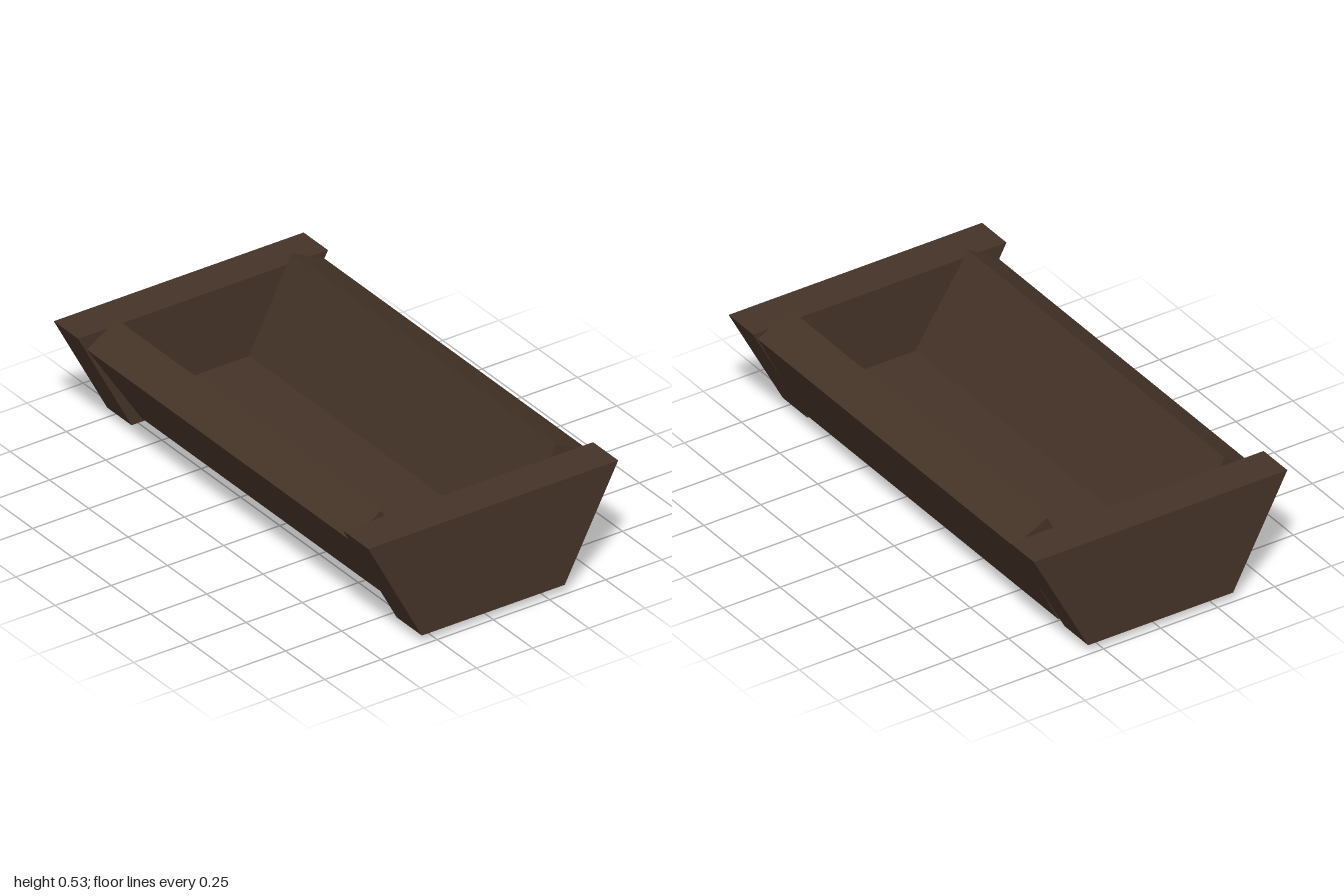
import * as THREE from 'three';

// Extrudes a (z, y) cross-section along x, from x0 to x1
function prism(name, section, x0, x1, material) {
  // shape x runs along -z so the extrusion axis lands on +x
  const shape = new THREE.Shape(section.map(([z, y]) => new THREE.Vector2(-z, y)));
  const geometry = new THREE.ExtrudeGeometry(shape, { depth: x1 - x0, bevelEnabled: false });
  geometry.rotateY(Math.PI / 2);
  geometry.translate(x0, 0, 0);
  const mesh = new THREE.Mesh(geometry, material);
  mesh.name = name;
  return mesh;
}

export function createModel() {
  const group = new THREE.Group();
  group.name = 'trough';
  const wood = new THREE.MeshStandardMaterial({ color: 0x443327, flatShading: true });
  wood.name = 'dark wood';

  // Tapered end boards, with a hairline gap on the right
  const end = [[-0.318, 0.04], [0.318, 0.04], [0.556, 0.486], [-0.556, 0.486]];
  group.add(prism('leftEndBoard', end, 0.84, 1, wood));
  group.add(prism('rightEndBoard', end, -1, -0.845, wood));

  // Long boards: flat floor and two leaning sides, tilted differently
  const boards = {
    floorBoard: [[-0.25, 0], [0.183, 0], [0.183, 0.16], [-0.25, 0.16]],
    frontBoard: [[0.278, 0.06], [0.52, 0.43], [0.388, 0.515], [0.146, 0.145]],
    backBoard: [[-0.341, 0.075], [-0.196, 0.148], [-0.39, 0.533], [-0.536, 0.46]],
  };
  for (const [name, section] of Object.entries(boards)) {
    group.add(prism(name, section, -0.84, 0.84, wood));
  }
  return group;
}
